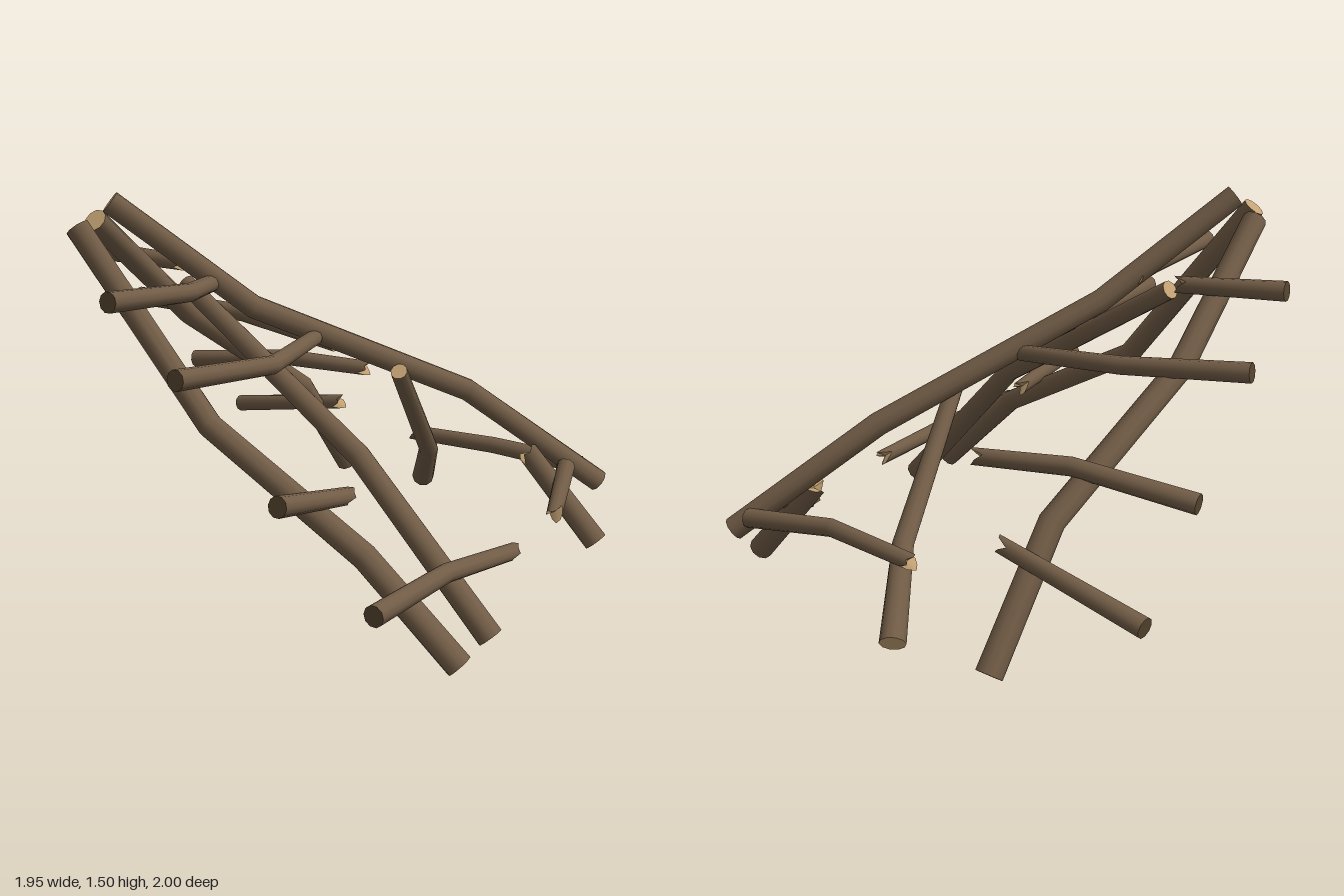
import * as THREE from 'three';
import { toCreasedNormals } from 'three/addons/utils/BufferGeometryUtils.js';

const SIDES = 10;
const JAG = [0.012, -0.03, 0.0, 0.022, 0.01, -0.005, -0.035, 0.015, 0.026, 0.004];

// Bent log: rings along a path, with a cap at each end (flat or splintered)
function logGeometry(path, r0, r1, jagStart, jagEnd) {
  const pts = path.map((p) => new THREE.Vector3(...p));
  const last = pts.length - 1;
  const up = new THREE.Vector3(0, 1, 0);
  const rings = [], centres = [];
  pts.forEach((p, i) => {
    const a = i > 0 ? p.clone().sub(pts[i - 1]).normalize() : null;
    const b = i < last ? pts[i + 1].clone().sub(p).normalize() : null;
    const t = new THREE.Vector3();
    if (a) t.add(a);
    if (b) t.add(b);
    t.normalize();
    const side = t.clone().cross(up).normalize();
    const n = t.clone().cross(side);
    const r = r0 + (r1 - r0) * i / last;
    const jag = (i === 0 && jagStart) ? -1 : (i === last && jagEnd) ? 1 : 0;
    const ring = [];
    for (let j = 0; j < SIDES; j++) {
      const ang = j / SIDES * Math.PI * 2;
      ring.push(p.clone()
        .addScaledVector(side, r * Math.cos(ang))
        .addScaledVector(n, r * Math.sin(ang))
        .addScaledVector(t, jag * JAG[j]));
    }
    rings.push(ring);
    centres.push(p.clone().addScaledVector(t, -jag * 0.015));
  });

  const pos = [];
  const tri = (...vs) => vs.forEach((v) => pos.push(v.x, v.y, v.z));
  for (let i = 0; i < last; i++) {
    for (let j = 0; j < SIDES; j++) {
      const k = (j + 1) % SIDES;
      tri(rings[i][j], rings[i][k], rings[i + 1][k]);
      tri(rings[i][j], rings[i + 1][k], rings[i + 1][j]);
    }
  }
  const sideCount = pos.length / 3;
  for (let j = 0; j < SIDES; j++) {
    tri(centres[0], rings[0][(j + 1) % SIDES], rings[0][j]);
  }
  for (let j = 0; j < SIDES; j++) {
    tri(centres[last], rings[last][j], rings[last][(j + 1) % SIDES]);
  }
  let geo = new THREE.BufferGeometry();
  geo.setAttribute('position', new THREE.Float32BufferAttribute(pos, 3));
  geo = toCreasedNormals(geo, 0.75);
  geo.clearGroups();
  geo.addGroup(0, sideCount, 0);
  geo.addGroup(sideCount, SIDES * 3, 1);
  geo.addGroup(sideCount + SIDES * 3, SIDES * 3, 2);
  return geo;
}

export function createModel() {
  const group = new THREE.Group();
  group.name = 'collapsedLogFrame';
  const mat = (name, color) => {
    const m = new THREE.MeshStandardMaterial({ color });
    m.name = name;
    return m;
  };
  const bark = mat('bark', 0x715c46);
  const wood = mat('cutWood', 0xc4a274);
  const darkBark = mat('darkBark', 0x57462f);

  const addLog = (name, path, r0, r1, o = {}) => {
    const geo = logGeometry(path, r0, r1, o.jagStart, o.jagEnd);
    const mesh = new THREE.Mesh(geo, [bark, o.startCap || wood, wood]);
    mesh.name = name;
    group.add(mesh);
  };

  // Heavy poles leaning from the ground up to the ridge
  addLog('ridgePole', [[-0.59, 1.47, 0.59], [-0.18, 1.06, 0.26], [0.39, 0.64, -0.46], [0.85, 0.22, -0.81]], 0.045, 0.047);
  addLog('leftWallPole', [[-0.69, 1.39, 0.56], [-0.675, 0.93, 0.0], [-0.5, 0.49, -0.61], [-0.465, 0.04, -0.95]], 0.047, 0.05);
  addLog('frontPole', [[-0.59, 1.4, 0.775], [-0.07, 0.72, 0.71], [0.59, 0.375, 0.755], [0.93, 0.04, 0.71]], 0.046, 0.049);
  addLog('middlePole', [[-0.46, 1.13, 0.31], [0.4, 0.62, 0.465], [0.93, 0.04, 0.46]], 0.038, 0.049);
  addLog('backPole', [[0.24, 0.77, -0.14], [0.115, 0.28, -0.67], [-0.05, 0.04, -0.95]], 0.034, 0.05);
  addLog('brokenStump', [[0.63, 0.37, -0.57], [0.93, 0.035, -0.59]], 0.044, 0.049, { jagStart: true });

  // Thinner cross branches on the left wall, running in from -x
  const branch = (name, path, jagEnd) =>
    addLog(name, path, 0.038, 0.032, { jagEnd, startCap: darkBark });
  branch('leftBranchLow', [[-0.975, 0.295, -0.8], [-0.37, 0.41, -0.725]], true);
  branch('leftBranchMid', [[-0.975, 0.6, -0.435], [-0.5, 0.655, -0.485], [-0.14, 0.64, -0.55]], true);
  branch('leftBranchHigh', [[-0.975, 0.965, -0.045], [-0.48, 0.93, -0.11], [0.02, 0.88, -0.02]], false);
  branch('leftBranchTop', [[-0.975, 1.205, 0.23], [-0.56, 1.185, 0.195]], true);

  // Cross branches on the front wall, running in from +z
  branch('frontBranchTop', [[-0.275, 1.2, 1.0], [-0.255, 1.16, 0.56], [-0.3, 1.16, 0.32]], false);
  branch('frontBranchHigh', [[0.0, 0.965, 1.0], [0.05, 0.91, 0.48], [-0.01, 0.925, 0.09]], false);
  branch('frontBranchMid', [[0.4, 0.595, 1.0], [0.425, 0.51, 0.59]], true);
  branch('frontBranchLow', [[0.76, 0.295, 1.0], [0.795, 0.285, 0.55], [0.86, 0.23, 0.13]], true);

  // Branches at the rear right corner
  branch('rearBranch', [[0.775, 0.28, -0.8], [0.385, 0.315, -0.76], [-0.025, 0.295, -0.805]], true);
  branch('rearStub', [[0.76, 0.315, -0.66], [0.825, 0.205, -0.38]], true);

  return group;
}
